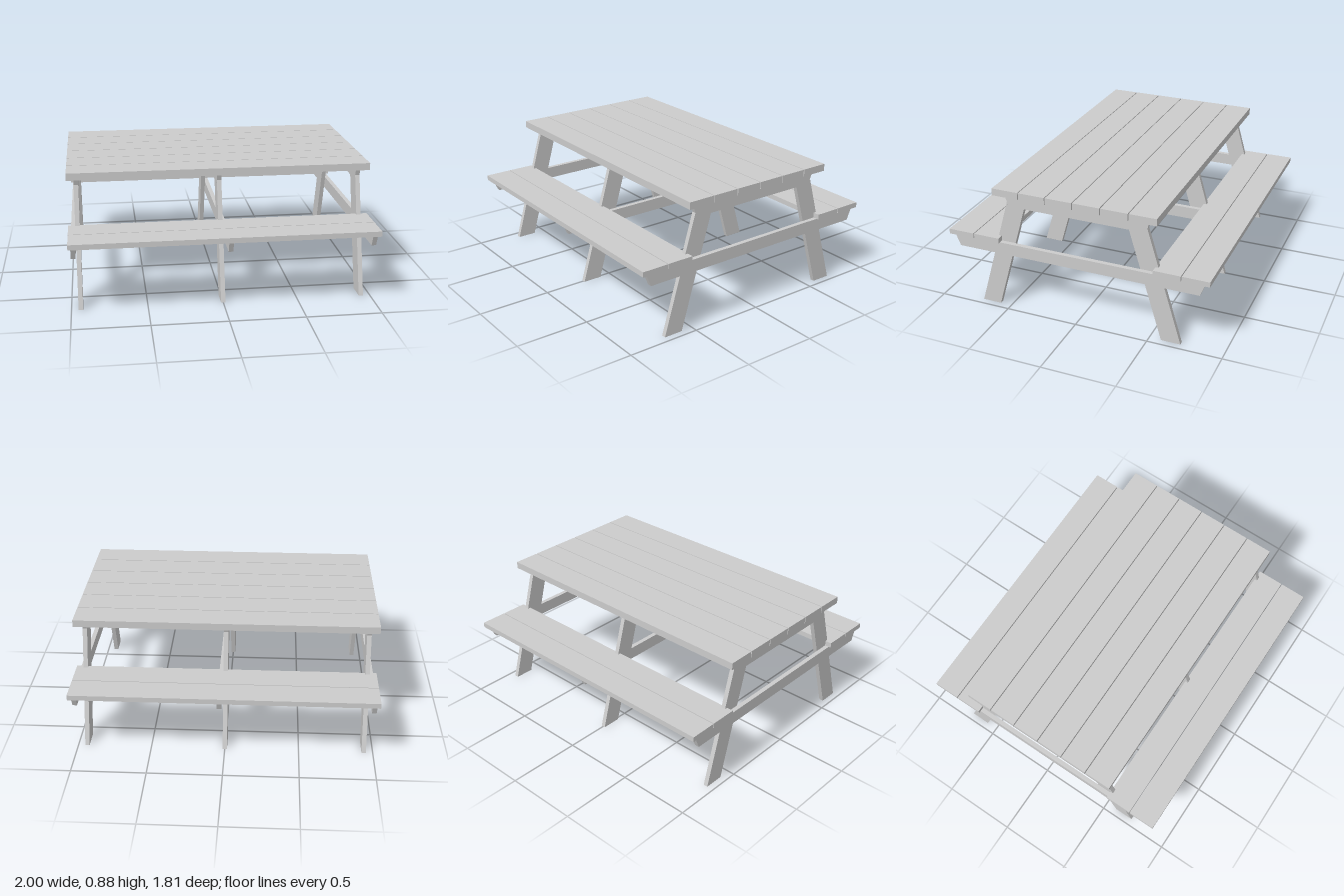
import * as THREE from 'three';

const wood = new THREE.MeshStandardMaterial({ color: 0xcccccc, flatShading: true });

// Flat timber: a [z, y] side outline given a thickness from x0 to x1
function timber(name, points, x0, x1) {
  const shape = new THREE.Shape(points.map(([z, y]) => new THREE.Vector2(-z, y)));
  const geometry = new THREE.ExtrudeGeometry(shape, { depth: x1 - x0, bevelEnabled: false });
  geometry.rotateY(Math.PI / 2); // shape x -> -z, depth -> +x
  geometry.translate(x0, 0, 0);
  const mesh = new THREE.Mesh(geometry, wood);
  mesh.name = name;
  return mesh;
}

// Row of full-length planks with narrow gaps, spread between z0 and z1
function planks(name, count, z0, z1, bottom, top) {
  const group = new THREE.Group();
  group.name = name;
  const gap = 0.006;
  const width = (z1 - z0 - gap * (count - 1)) / count;
  for (let i = 0; i < count; i++) {
    const plank = new THREE.Mesh(new THREE.BoxGeometry(2, top - bottom, width), wood);
    plank.position.set(0, (top + bottom) / 2, z0 + width / 2 + i * (width + gap));
    plank.name = name + 'Plank';
    group.add(plank);
  }
  return group;
}

// Crosspiece with ends tapering inward towards the bottom
const rail = (name, topZ, bottomZ, top, bottom, x0, x1) =>
  timber(name, [[-topZ, top], [topZ, top], [bottomZ, bottom], [-bottomZ, bottom]], x0, x1);

export function createModel() {
  const table = new THREE.Group();
  table.name = 'picnicTable';

  // Table top and the two benches
  table.add(planks('tableTop', 6, -0.56, 0.56, 0.837, 0.885));
  table.add(planks('frontBench', 2, 0.537, 0.905, 0.492, 0.527));
  table.add(planks('backBench', 2, -0.905, -0.537, 0.492, 0.527));

  // Three trestles: [leg centre x, bench rail centre x]
  for (const [x, railX] of [[-0.939, -0.969], [0, 0.03], [0.939, 0.969]]) {
    const trestle = new THREE.Group();
    trestle.name = 'trestle';
    const x0 = x - 0.015, x1 = x + 0.015;

    // Splayed legs, cut to fit under the tapered end of the top rail
    for (const s of [1, -1]) {
      const outline = [[0.58, 0], [0.711, 0], [0.482, 0.783], [0.471, 0.752], [0.361, 0.752]];
      trestle.add(timber(s > 0 ? 'frontLeg' : 'backLeg', outline.map(([z, y]) => [s * z, y]), x0, x1));
    }
    trestle.add(rail('topRail', 0.5, 0.471, 0.837, 0.752, x0, x1));
    trestle.add(rail('benchRail', 0.871, 0.837, 0.492, 0.409, railX - 0.015, railX + 0.015));
    table.add(trestle);
  }
  return table;
}
